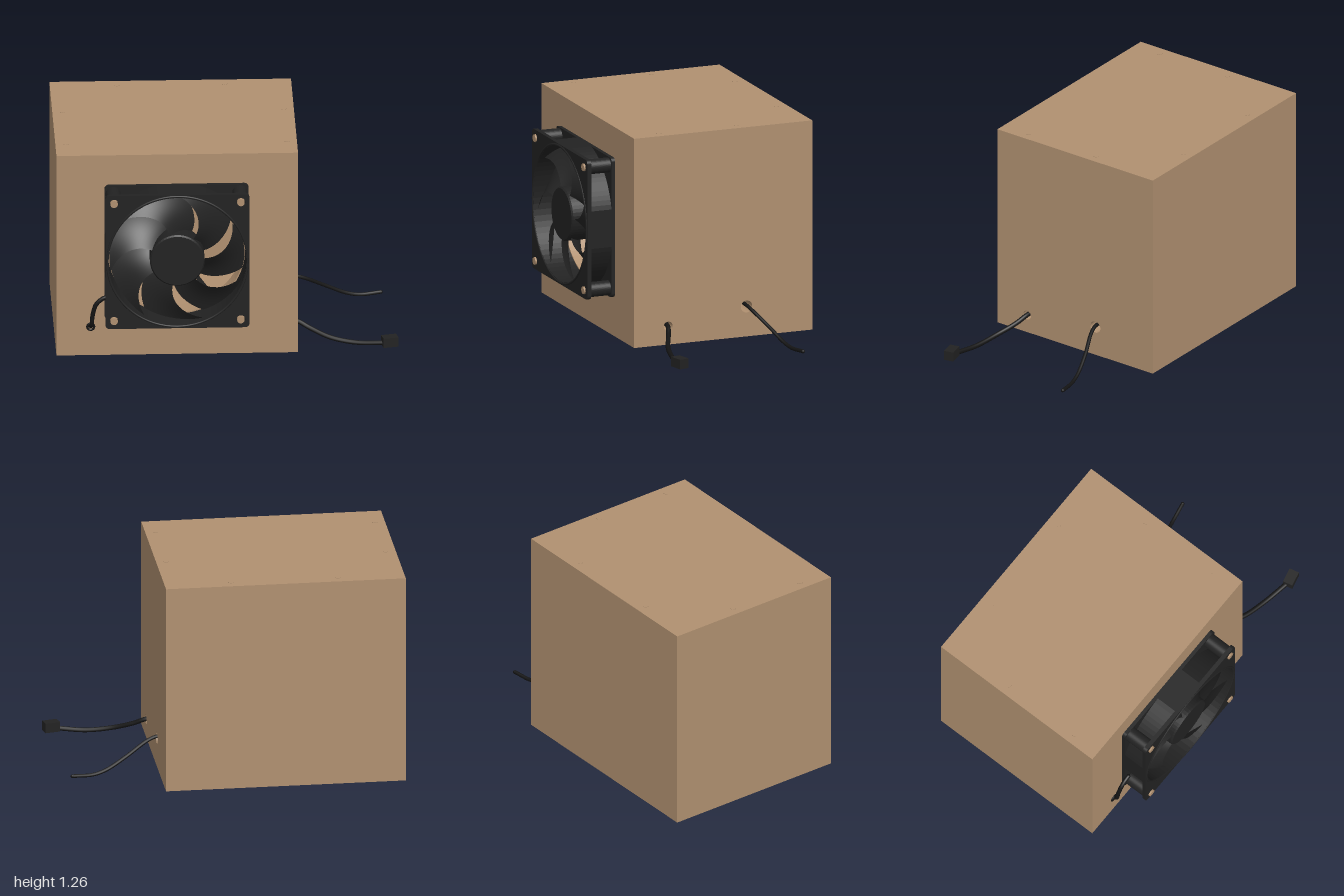
import * as THREE from 'three';

const mat = (name, color, side = THREE.FrontSide) => {
  const m = new THREE.MeshStandardMaterial({ color, side });
  m.name = name;
  return m;
};

export function createModel() {
  const wood = mat('wood', 0xb09070);
  const black = mat('black plastic', 0x222222);
  const blade = mat('fan blade black', 0x242424, THREE.DoubleSide);
  const cableMat = mat('cable black', 0x141414);
  const root = new THREE.Group();
  root.name = 'fanBox';

  const add = (parent, name, geo, m, x = 0, y = 0, z = 0) => {
    const mesh = new THREE.Mesh(geo, m);
    mesh.name = name;
    mesh.position.set(x, y, z);
    parent.add(mesh);
    return mesh;
  };
  const circle = (x, y, r) => new THREE.Path().absarc(x, y, r, 0, Math.PI * 2, true);
  const extrude = (shape, depth) =>
    new THREE.ExtrudeGeometry(shape, { depth, bevelEnabled: false, curveSegments: 36 });
  const rect = (x0, y0, x1, y1, holes = []) => {
    const s = new THREE.Shape();
    s.moveTo(x0, y0).lineTo(x1, y0).lineTo(x1, y1).lineTo(x0, y1).closePath();
    s.holes.push(...holes.map(h => circle(...h)));
    return s;
  };

  // Hollow wooden case made of six panels
  const X0 = -1, X1 = 0.41, H = 1.26, Z0 = -0.655, Z1 = 0.47, T = 0.125;
  const FX = -0.3, FY = 0.655;
  const box = new THREE.Group();
  box.name = 'woodenCase';
  root.add(box);
  const W = X1 - X0, D = Z1 - Z0, CX = (X0 + X1) / 2, CZ = (Z0 + Z1) / 2;
  add(box, 'floorPanel', new THREE.BoxGeometry(W, T, D), wood, CX, T / 2, CZ);
  add(box, 'lidPanel', new THREE.BoxGeometry(W, T, D), wood, CX, H - T / 2, CZ);
  add(box, 'backPanel', new THREE.BoxGeometry(W - 2 * T, H - 2 * T, T), wood, CX, H / 2, Z0 + T / 2);
  add(box, 'rightPanel', new THREE.BoxGeometry(T, H - 2 * T, D), wood, X0 + T / 2, H / 2, CZ);
  add(box, 'frontPanel', extrude(rect(X0 + T, T, X1 - T, H - T, [[FX, FY, 0.395], [-0.8, 0.18, 0.025]]), T),
    wood, 0, 0, Z1 - T);
  // Cable-side panel, drawn with its own x along -z; holes stay above the floor line
  const side = add(box, 'leftPanel',
    extrude(rect(-Z1, 0.06, -Z0, H - T, [[-0.255, 0.11, 0.028], [0.24, 0.18, 0.036]]), T), wood, X1 - T, 0, 0);
  side.rotation.y = Math.PI / 2;
  // Floor is cut short under that panel so the low hole stays open
  const floor = box.getObjectByName('floorPanel');
  floor.geometry = new THREE.BoxGeometry(W - T, T, D);
  floor.position.x = CX - T / 2;
  add(box, 'sillPanel', new THREE.BoxGeometry(T, 0.06, D), wood, X1 - T / 2, 0.03, CZ);

  // Lid plugs
  for (const [x, z] of [[-0.61, -0.59], [0.02, -0.59], [-0.94, -0.2], [0.35, -0.2], [-0.94, 0.29], [0.35, 0.29]])
    add(box, 'lidPlug', new THREE.CylinderGeometry(0.016, 0.016, 0.004, 20), wood, x, H, z);

  // Fan frame: two square flanges around a clipped round duct
  const fan = new THREE.Group();
  fan.name = 'fan';
  fan.position.set(FX, FY, Z1);
  root.add(fan);
  const S = 0.42, C = 0.37, R = 0.402;
  const corners = [[-C, -C], [C, -C], [C, C], [-C, C]];
  const flange = () => {
    const s = new THREE.Shape(), r = 0.025;
    s.absarc(S - r, S - r, r, 0, Math.PI / 2);
    s.absarc(r - S, S - r, r, Math.PI / 2, Math.PI);
    s.absarc(r - S, r - S, r, Math.PI, Math.PI * 1.5);
    s.absarc(S - r, r - S, r, Math.PI * 1.5, Math.PI * 2);
    s.holes.push(circle(0, 0, R), ...corners.map(([x, y]) => circle(x, y, 0.026)));
    return s;
  };
  add(fan, 'backFlange', extrude(flange(), 0.022), black);
  add(fan, 'frontFlange', extrude(flange(), 0.025), black, 0, 0, 0.15);
  const clip = v => Math.max(-S, Math.min(S, v));
  const ductPoints = Array.from({ length: 96 }, (_, i) => {
    const a = i / 96 * Math.PI * 2;
    return new THREE.Vector2(clip(0.436 * Math.cos(a)), clip(0.436 * Math.sin(a)));
  });
  const duct = new THREE.Shape(ductPoints);
  duct.holes.push(circle(0, 0, R));
  add(fan, 'duct', extrude(duct, 0.13), black, 0, 0, 0.021);
  add(fan, 'frontLip', new THREE.TorusGeometry(0.41, 0.007, 8, 72), black, 0, 0, 0.174);
  for (const [x, y] of corners) {
    const post = new THREE.Shape().absarc(0, 0, 0.044, 0, Math.PI * 2);
    post.holes.push(circle(0, 0, 0.026));
    add(fan, 'cornerPost', extrude(post, 0.13), black, x, y, 0.021);
    add(fan, 'screw', new THREE.CylinderGeometry(0.022, 0.022, 0.184, 20), wood, x, y, 0.092).rotation.x = Math.PI / 2;
  }

  // Motor mount and struts behind the rotor
  add(fan, 'motorMount', new THREE.CylinderGeometry(0.15, 0.15, 0.02, 40), black, 0, 0, 0.012).rotation.x = Math.PI / 2;
  for (let i = 0; i < 4; i++) {
    const a = Math.PI * (0.2 + i / 2);
    add(fan, 'strut', new THREE.BoxGeometry(0.28, 0.022, 0.015), black,
      0.275 * Math.cos(a), 0.275 * Math.sin(a), 0.01).rotation.z = a;
  }

  // Rotor hub with a softened front edge
  const hub = [[0, 0.025], [0.158, 0.025], [0.16, 0.03], [0.16, 0.155], [0.152, 0.164], [0, 0.164]]
    .map(p => new THREE.Vector2(...p));
  add(fan, 'hub', new THREE.LatheGeometry(hub, 48).toNonIndexed(), black).rotation.x = Math.PI / 2;
  fan.getObjectByName('hub').geometry.computeVertexNormals();

  // Seven swept, pitched blades
  const bladeGeo = new THREE.PlaneGeometry(1, 1, 14, 12);
  const p = bladeGeo.attributes.position;
  const rad = Math.PI / 180;
  for (let i = 0; i < p.count; i++) {
    const u = p.getX(i) + 0.5, t = p.getY(i) + 0.5;
    const r = 0.155 + 0.24 * t;
    const sweep = 55 + 32 * Math.pow(t, 1.5);
    const gap = 1 + 5 * Math.sin(Math.PI * t);
    const a = (sweep - gap / 2 - u * (360 / 7 - gap)) * rad;
    const z = 0.15 - 0.115 * u - 0.012 * Math.sin(Math.PI * u);
    p.setXYZ(i, r * Math.cos(a), r * Math.sin(a), z);
  }
  bladeGeo.computeVertexNormals();
  // Reverse the winding if the sheet faces the case
  if (bladeGeo.attributes.normal.getZ(90) < 0) {
    const idx = bladeGeo.index;
    for (let i = 0; i < idx.count; i += 3) {
      const b = idx.getX(i + 1);
      idx.setX(i + 1, idx.getX(i + 2));
      idx.setX(i + 2, b);
    }
    bladeGeo.computeVertexNormals();
  }
  for (let i = 0; i < 7; i++)
    add(fan, 'blade', bladeGeo, blade).rotation.z = i * Math.PI * 2 / 7;

  // Cables: outside runs, continuing into the case
  const cable = (name, r, pts) => {
    const curve = new THREE.CatmullRomCurve3(pts.map(q => new THREE.Vector3(...q)));
    add(root, name, new THREE.TubeGeometry(curve, 56, r, 10), cableMat);
    for (const q of [pts[0], pts[pts.length - 1]])
      add(root, name + 'End', new THREE.SphereGeometry(r, 10, 8), cableMat, ...q);
  };
  cable('powerCable', 0.011, [[-0.1, 0.14, -0.1], [0.15, 0.15, -0.2], [0.3, 0.185, -0.24], [0.41, 0.188, -0.24],
    [0.47, 0.168, -0.253], [0.6, 0.095, -0.305], [0.72, 0.033, -0.342], [0.8, 0.013, -0.36], [0.925, 0.018, -0.383]]);
  cable('connectorCable', 0.014, [[-0.2, 0.14, 0.1], [0.1, 0.14, 0.2], [0.28, 0.12, 0.245], [0.41, 0.11, 0.257],
    [0.48, 0.078, 0.282], [0.6, 0.036, 0.335], [0.75, 0.015, 0.37], [0.92, 0.024, 0.403]]);
  add(root, 'connector', new THREE.BoxGeometry(0.09, 0.058, 0.06), black, 0.948, 0.036, 0.405).rotation.y = 0.22;

  // Short fan lead entering the front panel
  cable('fanLead', 0.013, [[-0.7, 0.38, 0.5], [-0.735, 0.365, 0.5], [-0.77, 0.33, 0.5], [-0.79, 0.26, 0.495],
    [-0.795, 0.2, 0.488], [-0.8, 0.18, 0.46], [-0.8, 0.18, 0.36]]);
  add(root, 'leadGrommet', new THREE.TorusGeometry(0.02, 0.007, 8, 20), cableMat, -0.8, 0.18, 0.472);
  return root;
}
